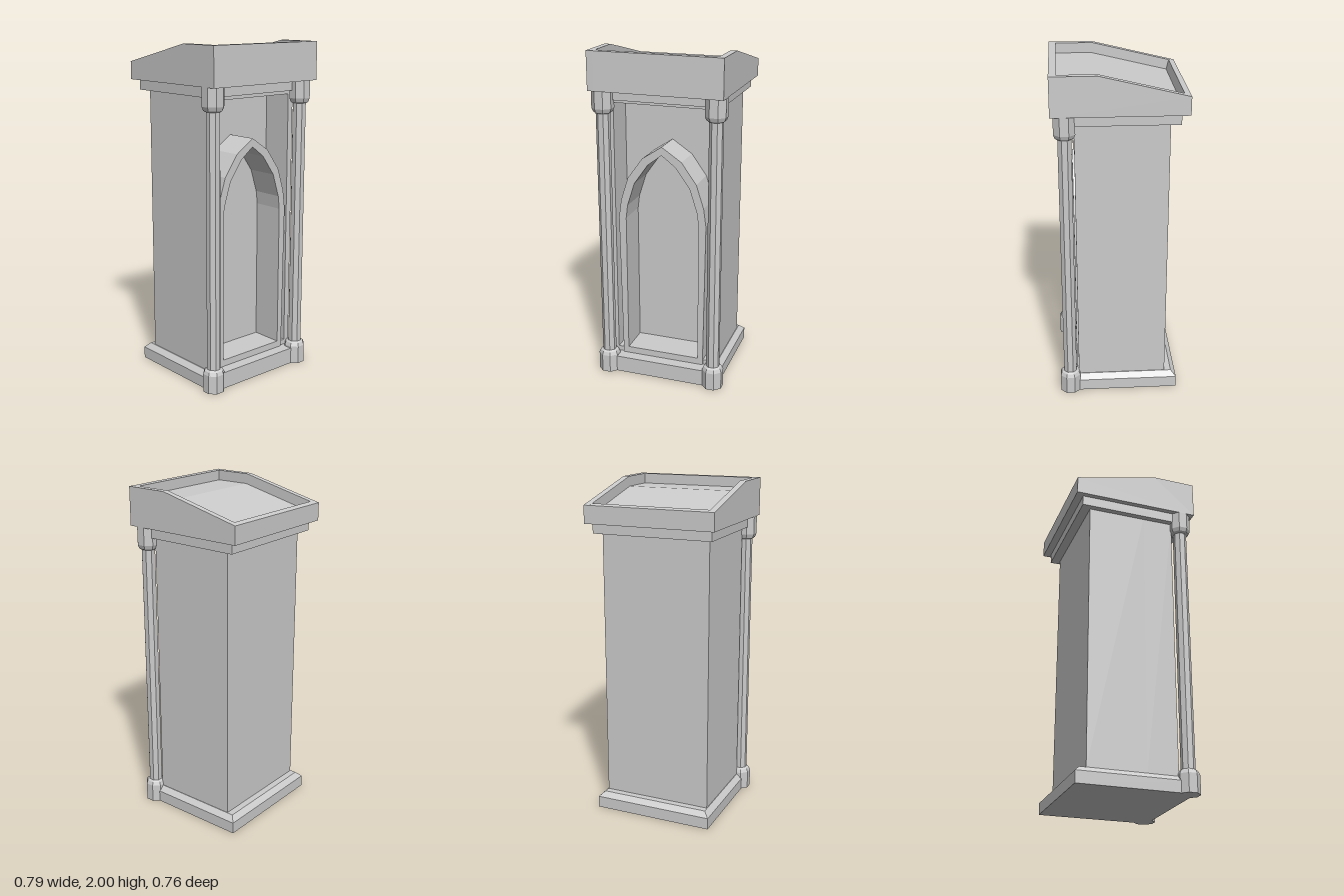
import * as THREE from 'three';

const material = new THREE.MeshStandardMaterial({ color: 0xcccccc, flatShading: true, side: THREE.DoubleSide });

export function createModel() {
  const model = new THREE.Group();

  const add = (name, geometry, parent = model) => {
    const mesh = new THREE.Mesh(geometry, material);
    mesh.name = name;
    parent.add(mesh);
    return mesh;
  };

  // Box given by its limits on each axis
  const box = (name, x0, x1, y0, y1, z0, z1) => {
    const g = new THREE.BoxGeometry(x1 - x0, y1 - y0, z1 - z0);
    g.translate((x0 + x1) / 2, (y0 + y1) / 2, (z0 + z1) / 2);
    return add(name, g);
  };

  const toShape = (points) => new THREE.Shape(points.map(([a, b]) => new THREE.Vector2(a, b)));

  // Side profile of [z, y] points, extruded across x from x0 to x1
  const sideProfile = (name, points, x0, x1) => {
    const g = new THREE.ExtrudeGeometry(toShape(points), { depth: x1 - x0, bevelEnabled: false });
    g.rotateY(-Math.PI / 2).translate(x1, 0, 0);
    return add(name, g);
  };

  // Plinth, with a bevel on the sides and the back
  box('plinth', -0.365, 0.365, 0, 0.07, -0.35, 0.33);
  const bevel = box('plinthBevel', -0.365, 0.365, 0.07, 0.1, -0.35, 0.33);
  const p = bevel.geometry.attributes.position;
  for (let i = 0; i < p.count; i++) {
    if (p.getY(i) < 0.09) continue;
    p.setX(i, Math.sign(p.getX(i)) * 0.334);
    if (p.getZ(i) < 0) p.setZ(i, -0.32);
  }
  bevel.geometry.computeVertexNormals();

  // Body with an open niche in the front
  box('bodyBack', -0.331, 0.331, 0.1, 1.715, -0.28, 0.065);
  for (const s of [-1, 1]) {
    const cx = s * 0.313;
    box('bodySideWall', cx - 0.018, cx + 0.018, 0.1, 1.715, 0.065, 0.25);
  }
  box('nicheFloor', -0.295, 0.295, 0.1, 0.13, 0.065, 0.25);
  box('nicheLintel', -0.295, 0.295, 1.69, 1.715, 0.065, 0.25);

  // Pointed arch standing out from the back of the niche
  const mirrored = (half) => [...half, ...half.slice(0, -1).reverse().map(([x, y]) => [-x, y])];
  const arch = toShape(mirrored([
    [0.258, 0.1], [0.27, 1.0], [0.255, 1.11], [0.21, 1.25], [0.12, 1.375], [0, 1.455]]));
  arch.holes.push(toShape(mirrored([
    [0.225, 0.14], [0.225, 1.0], [0.215, 1.08], [0.17, 1.22], [0.085, 1.34], [0, 1.405]])));
  const archGeometry = new THREE.ExtrudeGeometry(arch, { depth: 0.197, bevelEnabled: false });
  archGeometry.translate(0, 0, 0.063);
  add('archFrame', archGeometry);

  // Octagonal corner columns; radii are measured to the flat sides
  const octagon = (profile) => {
    const points = profile.map(([r, y]) => new THREE.Vector2(r / Math.cos(Math.PI / 8), y));
    return new THREE.LatheGeometry(points, 8, Math.PI / 8);
  };
  for (const s of [-1, 1]) {
    const column = new THREE.Group();
    column.name = s > 0 ? 'leftColumn' : 'rightColumn';
    column.position.set(s * 0.336, 0, 0.303);
    add('columnBase', octagon([[0, 0], [0.06, 0], [0.06, 0.11], [0.052, 0.13], [0.04, 0.138], [0, 0.138]]), column);
    add('columnShaft', octagon([[0.038, 0.13], [0.038, 1.65]]), column);
    add('columnCapital', octagon([[0, 1.64], [0.04, 1.64], [0.052, 1.648], [0.06, 1.67], [0.06, 1.775], [0, 1.775]]), column);
    model.add(column);
  }

  // Cornice below the desk
  box('cornice', -0.365, 0.365, 1.715, 1.775, -0.335, 0.3);

  // Sloping desk with a sunken reading surface
  sideProfile('readingDesk', [
    [0.38, 1.775], [0.38, 2], [0.34, 2], [0.34, 1.94], [0.127, 1.94],
    [-0.331, 1.83], [-0.345, 1.888], [-0.38, 1.88], [-0.38, 1.775]], -0.357, 0.357);
  const cheek = [[0.38, 1.775], [0.38, 2], [0.12, 2], [-0.38, 1.88], [-0.38, 1.775]];
  sideProfile('deskRightSide', cheek, -0.395, -0.357);
  sideProfile('deskLeftSide', cheek, 0.357, 0.395);

  return model;
}
